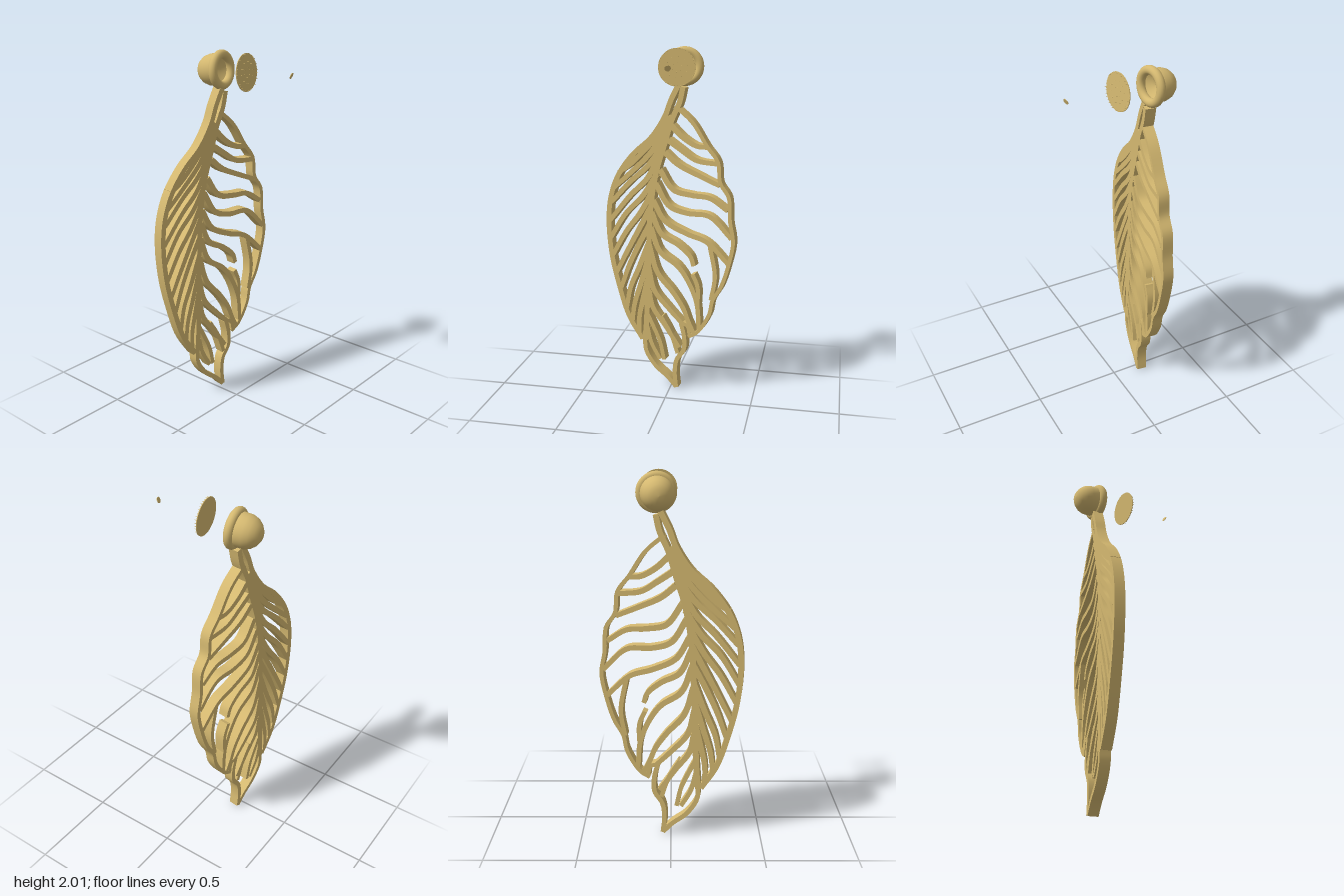
import * as THREE from 'three';
import { toCreasedNormals } from 'three/addons/utils/BufferGeometryUtils.js';

const gold = new THREE.MeshStandardMaterial({ color: 0xd4b870, side: THREE.DoubleSide });
const THICK = 0.058;

function add(parent, name, geometry) {
  const mesh = new THREE.Mesh(geometry, gold);
  mesh.name = name;
  parent.add(mesh);
  return mesh;
}

// Flat strip of tapering width along a spline, extruded to the feather's thickness
function strip(points, w0, w1 = w0) {
  const curve = new THREE.CatmullRomCurve3(points.map(([u, y]) => new THREE.Vector3(u, y, 0)));
  const n = points.length * 5;
  const a = [], b = [];
  for (let i = 0; i <= n; i++) {
    const t = i / n, p = curve.getPoint(t), d = curve.getTangent(t);
    const h = THREE.MathUtils.lerp(w0, w1, t) / 2;
    a.push(new THREE.Vector2(p.x - d.y * h, p.y + d.x * h));
    b.unshift(new THREE.Vector2(p.x + d.y * h, p.y - d.x * h));
  }
  const g = new THREE.ExtrudeGeometry(new THREE.Shape([...a, ...b]), { depth: THICK, bevelEnabled: false });
  g.translate(0, 0, -THICK / 2);
  return toCreasedNormals(g, 0.6);
}

// Barbs listed from the shaft out to the rim
const leftBarbs = [
  [[0, 1.62], [0.085, 1.5], [0.24, 1.34], [0.31, 1.29]],
  [[0.015, 1.57], [0.11, 1.42], [0.24, 1.29], [0.34, 1.2]],
  [[0.03, 1.48], [0.13, 1.34], [0.24, 1.24], [0.36, 1.11]],
  [[0.06, 1.4], [0.14, 1.26], [0.24, 1.16], [0.37, 1.0]],
  [[0.08, 1.29], [0.165, 1.16], [0.27, 1.05], [0.37, 0.89]],
  [[0.1, 1.2], [0.18, 1.06], [0.27, 0.94], [0.355, 0.79]],
  [[0.11, 1.11], [0.19, 0.96], [0.27, 0.81], [0.335, 0.68]],
  [[0.12, 1.0], [0.19, 0.87], [0.255, 0.73], [0.305, 0.59]],
  [[0.127, 0.89], [0.19, 0.73], [0.245, 0.6], [0.27, 0.47]],
  [[0.132, 0.79], [0.18, 0.63], [0.22, 0.5], [0.235, 0.385]],
  [[0.138, 0.655], [0.17, 0.52], [0.19, 0.42], [0.19, 0.31]],
];
const rightBarbs = [
  [[-0.01, 1.57], [-0.075, 1.51], [-0.155, 1.465], [-0.217, 1.46]],
  [[0.01, 1.49], [-0.065, 1.44], [-0.155, 1.385], [-0.28, 1.37]],
  [[0.03, 1.42], [-0.05, 1.355], [-0.17, 1.3], [-0.29, 1.25]],
  [[0.06, 1.32], [-0.02, 1.21], [-0.13, 1.185], [-0.235, 1.175], [-0.34, 1.11]],
  [[0.085, 1.24], [0.005, 1.115], [-0.1, 1.08], [-0.235, 1.07], [-0.365, 0.95]],
  [[0.1, 1.14], [0.03, 1.025], [-0.1, 0.96], [-0.22, 0.92], [-0.35, 0.8]],
  [[0.11, 1.07], [0.05, 0.945], [-0.05, 0.89], [-0.125, 0.825], [-0.145, 0.77]],
  [[0.115, 0.98], [0.06, 0.84], [-0.05, 0.76], [-0.11, 0.68], [-0.165, 0.55], [-0.18, 0.39]],
  [[0.125, 0.87], [0.075, 0.71], [-0.02, 0.6], [-0.085, 0.505], [-0.115, 0.43], [-0.15, 0.36]],
  [[0.13, 0.735], [0.095, 0.6], [0.005, 0.495], [-0.075, 0.415]],
  [[0.13, 0.6], [0.105, 0.495], [0.03, 0.39], [-0.06, 0.26]],
];
// Short barbs: loose ones at the right and the ones inside the tip
const shortBarbs = [
  [[-0.14, 0.72], [-0.17, 0.645], [-0.17, 0.52]],
  [[-0.24, 0.9], [-0.272, 0.72], [-0.25, 0.575]],
  [[0.053, 0.44], [-0.01, 0.335], [-0.05, 0.22]],
  [[0.14, 0.45], [0.1, 0.37], [0.06, 0.28], [0.035, 0.17]],
  [[0.138, 0.36], [0.115, 0.27], [0.06, 0.17]],
];

function makeFeather() {
  const feather = new THREE.Group();
  feather.name = 'feather';
  add(feather, 'shaft', strip([[-0.075, 1.785], [-0.055, 1.7], [-0.01, 1.6], [0.03, 1.47], [0.08, 1.31],
    [0.115, 1.1], [0.13, 0.81], [0.137, 0.6], [0.145, 0.39], [0.155, 0.28]], 0.03, 0.034));
  add(feather, 'leftRim', strip([[-0.05, 1.8], [-0.005, 1.71], [0.03, 1.62], [0.11, 1.5], [0.22, 1.4], [0.31, 1.28],
    [0.36, 1.15], [0.377, 1.0], [0.36, 0.79], [0.315, 0.6], [0.255, 0.42], [0.17, 0.285]], 0.03));
  add(feather, 'rightRim', strip([[-0.03, 1.68], [-0.13, 1.595], [-0.217, 1.465], [-0.28, 1.38], [-0.295, 1.265],
    [-0.345, 1.185], [-0.355, 1.05], [-0.375, 0.93], [-0.352, 0.8], [-0.31, 0.665], [-0.26, 0.575],
    [-0.24, 0.485], [-0.17, 0.37], [-0.115, 0.335]], 0.022));
  add(feather, 'shaftSplit', strip([[0.025, 1.63], [0.03, 1.56], [0.045, 1.45], [0.08, 1.31]], 0.026));
  add(feather, 'tipLeft', strip([[0.155, 0.29], [0.148, 0.215], [0.09, 0.125], [0.01, 0.06], [-0.042, 0.004]], 0.026));
  add(feather, 'tipRight', strip([[-0.07, 0.415], [-0.09, 0.33], [-0.088, 0.25], [-0.045, 0.18],
    [-0.033, 0.1], [-0.042, 0.003]], 0.026));
  add(feather, 'lowerBridge', strip([[-0.075, 0.415], [-0.11, 0.4], [-0.125, 0.335]], 0.022));
  leftBarbs.forEach((p) => add(feather, 'leftBarb', strip(p, 0.034, 0.026)));
  rightBarbs.forEach((p) => add(feather, 'rightBarb', strip(p, 0.034, 0.026)));
  shortBarbs.forEach((p) => add(feather, 'shortBarb', strip(p, 0.026, 0.024)));
  // Stand the flat feather in the side plane with a slight twist
  feather.rotation.y = -(Math.PI / 2 + 0.13);
  feather.position.x = -0.175;
  return feather;
}

// Group whose local y axis points along the given direction
function facing(name, dir, pos) {
  const g = new THREE.Group();
  g.name = name;
  g.quaternion.setFromUnitVectors(new THREE.Vector3(0, 1, 0), new THREE.Vector3(...dir).normalize());
  g.position.set(...pos);
  return g;
}

export function createModel() {
  const model = new THREE.Group();
  model.name = 'featherEarring';
  model.add(makeFeather());

  // Cup with a rolled ring around its mouth
  const axis = [1, 0.07, -0.125];
  const cup = facing('cup', axis, [-0.168, 1.895, -0.074]);
  const ring = new THREE.TorusGeometry(0.083, 0.024, 16, 48);
  ring.rotateX(Math.PI / 2);
  add(cup, 'ring', ring);
  const profile = [[0, -0.138], [0.033, -0.135], [0.058, -0.118], [0.076, -0.095], [0.086, -0.065], [0.087, -0.03],
    [0.084, 0], [0.066, -0.012], [0.035, -0.032], [0, -0.04]];
  add(cup, 'bowl', new THREE.LatheGeometry(profile.map(([r, h]) => new THREE.Vector2(r, h)), 40));
  model.add(cup);

  // Thin disc set with tiny prongs
  const disc = facing('prongDisc', axis, [0.012, 1.9, -0.066]);
  add(disc, 'disc', new THREE.CylinderGeometry(0.1, 0.1, 0.004, 48));
  for (const [radius, count] of [[0.096, 36], [0.055, 10], [0.025, 6]]) {
    for (let i = 0; i < count; i++) {
      const a = (i / count) * Math.PI * 2;
      const prong = add(disc, 'prong', new THREE.ConeGeometry(0.002, 0.014, 5));
      prong.position.set(Math.cos(a) * radius, 0.008, Math.sin(a) * radius);
    }
  }
  model.add(disc);

  // Small separate plate
  const plate = facing('smallPlate', [1, -0.4, -0.25], [0.298, 1.912, -0.075]);
  add(plate, 'plate', new THREE.CylinderGeometry(0.016, 0.016, 0.003, 20));
  model.add(plate);
  return model;
}
